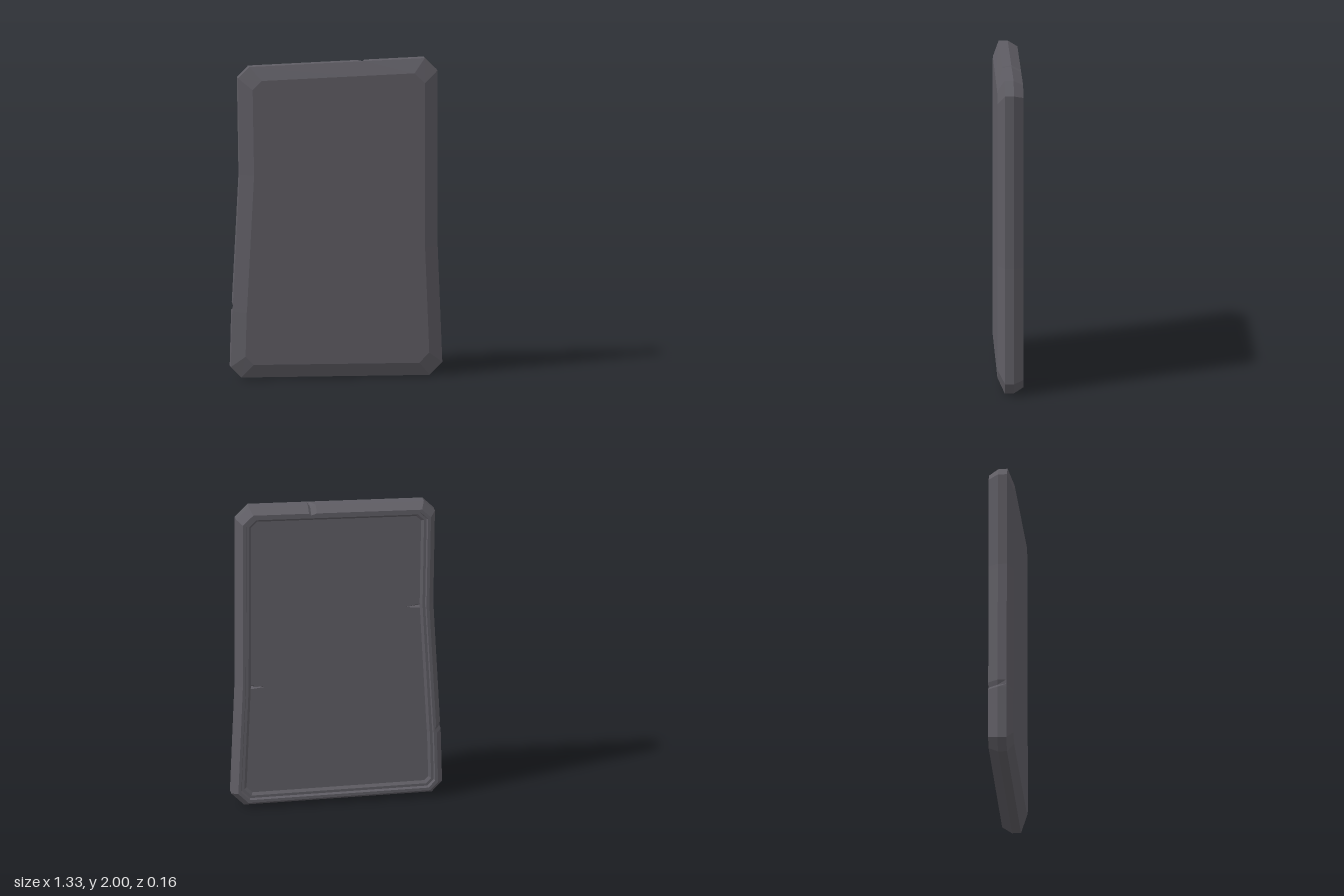
import * as THREE from 'three';

// Slab outline at its widest, counter-clockwise from the front
const outline = [
  [-0.6, 0.012], [0.58, 0], [0.66, 0.08], [0.632, 0.788], [0.631, 0.812], [0.63, 1.92], [0.55, 2],
  [0.18, 1.9899], [0.165, 1.9895], [0.13, 1.9885], [-0.55, 1.97], [-0.62, 1.9],
  [-0.61, 1.292], [-0.611, 1.268], [-0.652, 0.48], [-0.654, 0.45], [-0.656, 0.43], [-0.665, 0.08],
].map(([x, y]) => new THREE.Vector2(x, y));
const N = outline.length;
const chips = [8, 15];    // outline points chipped inwards
const cracks = [3, 12];   // first point of each crack mouth

// Inward normal and offset factor of the edge starting at point i
function edge(i) {
  const d = outline[(i + 1) % N].clone().sub(outline[i]);
  const corner = Math.abs(d.x) > 0.04 && Math.abs(d.y) > 0.04 && d.length() < 0.15;
  return { n: new THREE.Vector2(-d.y, d.x).normalize(), corner };
}

// Outline moved inwards with mitred corners
function ring(inset, z, cornerFactor = 1, chip = 0) {
  return outline.map((p, i) => {
    const a = edge((i + N - 1) % N), b = edge(i);
    const da = inset * (a.corner ? cornerFactor : 1), db = inset * (b.corner ? cornerFactor : 1);
    const det = a.n.x * b.n.y - a.n.y * b.n.x;
    const q = p.clone();
    if (Math.abs(det) < 0.02) q.addScaledVector(b.n, db);
    else q.add(new THREE.Vector2((da * b.n.y - db * a.n.y) / det, (a.n.x * db - b.n.x * da) / det));
    if (chips.includes(i)) q.addScaledVector(b.n, chip);
    return new THREE.Vector3(q.x, q.y, z);
  });
}

function makeMesh(name, triangles, material) {
  const geometry = new THREE.BufferGeometry().setFromPoints(triangles);
  geometry.computeVertexNormals();
  const mesh = new THREE.Mesh(geometry, material);
  mesh.name = name;
  return mesh;
}

// Faces joining successive rings, running from front to back
function bands(rings) {
  const out = [];
  for (let r = 0; r + 1 < rings.length; r++) {
    for (let i = 0; i < N; i++) {
      const j = (i + 1) % N, A = rings[r], B = rings[r + 1];
      out.push(A[i], B[i], B[j], A[i], B[j], A[j]);
    }
  }
  return out;
}

// Flat cap over a loop of points
function cap(points, back) {
  const faces = THREE.ShapeUtils.triangulateShape(points.map(p => new THREE.Vector2(p.x, p.y)), []);
  return faces.flatMap(([a, b, c]) => (back ? [a, c, b] : [a, b, c]).map(k => points[k]));
}

export function createModel() {
  const stone = new THREE.MeshStandardMaterial({ color: 0x5f5d64 });
  stone.name = 'dark grey stone';
  stone.flatShading = true;
  const group = new THREE.Group();
  group.name = 'slab';

  // Front face, bevel and side walls
  const front = ring(0.085, 0.077, 1.3);
  front.forEach(p => { p.z += 0.005 * p.x; });
  const shoulder = ring(0, 0.036);
  const rear = ring(0, -0.02, 1, 0.012);
  const rimOuter = ring(0.034, -0.08, 1.1, 0.012);
  group.add(makeMesh('frontFace', cap(front, false), stone));
  group.add(makeMesh('frontBevel', bands([front, shoulder]), stone));
  group.add(makeMesh('sides', bands([shoulder, rear, rimOuter]), stone));

  // Back rim stepping down into the recess
  const panelRing = ring(0.09, -0.045, 1.1);
  group.add(makeMesh('backRim', bands([
    rimOuter, ring(0.052, -0.08, 1.1), ring(0.058, -0.06, 1.1), ring(0.074, -0.06, 1.1), panelRing,
  ]), stone));

  // Recessed back panel with two tapering cracks
  const loop = [], grooves = [];
  panelRing.forEach((p, i) => {
    loop.push(p);
    if (!cracks.includes(i)) return;
    const q = panelRing[i + 1], n = edge(i).n;
    const mouth = p.clone().lerp(q, 0.5), tip = mouth.clone();
    tip.x += n.x * 0.09;
    tip.y += n.y * 0.09;
    mouth.z += 0.02;
    loop.push(tip);
    grooves.push(p, tip, mouth, tip, q, mouth, q, p, mouth);
  });
  group.add(makeMesh('backPanel', cap(loop, true), stone));
  group.add(makeMesh('cracks', grooves, stone));
  return group;
}
